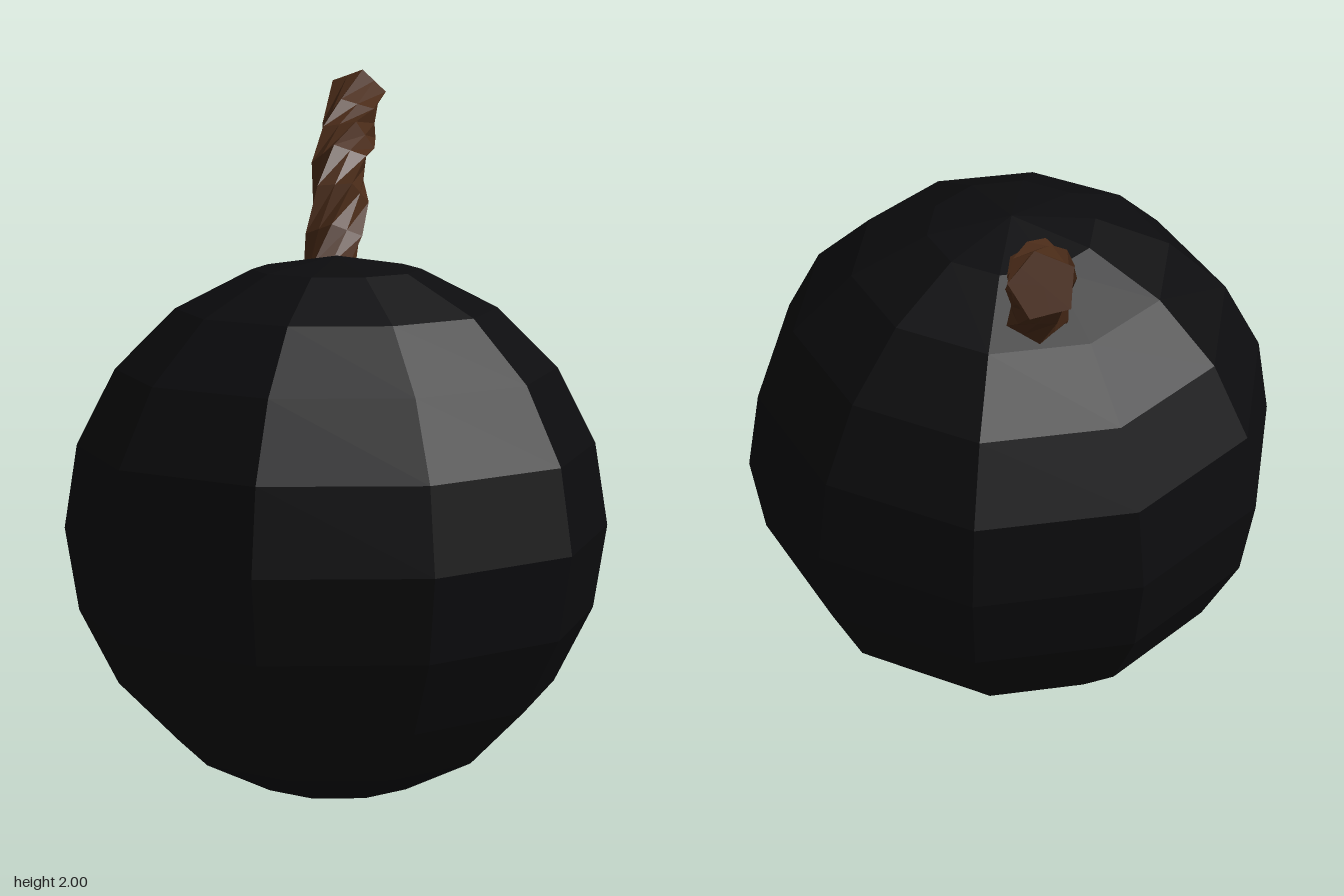
import * as THREE from 'three';

// Twisted, ridged rope swept along a curve, closed at both ends
function ropeGeometry(curve, rings, strands, outer, inner, twist) {
  const sides = strands * 2;
  const positions = [];
  const index = [];
  for (let i = 0; i <= rings; i++) {
    const f = i / rings;
    const centre = curve.getPoint(f);
    const t = curve.getTangent(f);
    const u = new THREE.Vector3(1, 0, 0).addScaledVector(t, -t.x).normalize();
    const v = new THREE.Vector3().crossVectors(t, u);
    for (let j = 0; j < sides; j++) {
      const a = (j / sides) * Math.PI * 2 + f * twist;
      const r = j % 2 ? inner : outer;
      const p = centre.clone().addScaledVector(u, r * Math.cos(a)).addScaledVector(v, r * Math.sin(a));
      positions.push(p.x, p.y, p.z);
    }
  }
  for (let i = 0; i < rings; i++) {
    for (let j = 0; j < sides; j++) {
      const k = (j + 1) % sides;
      const a = i * sides + j, b = i * sides + k;
      const c = a + sides, d = b + sides;
      index.push(a, b, d, a, d, c);
    }
  }
  // End caps
  const start = positions.length / 3;
  const p0 = curve.getPoint(0), p1 = curve.getPoint(1);
  positions.push(p0.x, p0.y, p0.z, p1.x, p1.y, p1.z);
  for (let j = 0; j < sides; j++) {
    const k = (j + 1) % sides;
    index.push(start, k, j, start + 1, rings * sides + j, rings * sides + k);
  }
  const geometry = new THREE.BufferGeometry();
  geometry.setAttribute('position', new THREE.Float32BufferAttribute(positions, 3));
  geometry.setIndex(index);
  const flat = geometry.toNonIndexed();
  flat.computeVertexNormals();
  return flat;
}

export function createModel() {
  const group = new THREE.Group();

  // Faceted ball, with a corner facing front and back
  const ballGeometry = new THREE.SphereGeometry(0.76, 10, 10);
  ballGeometry.rotateY(Math.PI / 2);
  const ball = new THREE.Mesh(
    ballGeometry,
    new THREE.MeshStandardMaterial({ color: 0x0c0c0e, flatShading: true })
  );
  ball.name = 'ball';
  ball.position.set(0, 0.76, 0.087);
  group.add(ball);

  // Rope fuse leaning backwards out of the top
  const path = new THREE.CatmullRomCurve3([
    new THREE.Vector3(-0.1, 1.36, -0.19),
    new THREE.Vector3(-0.115, 1.46, -0.255),
    new THREE.Vector3(-0.13, 1.62, -0.37),
    new THREE.Vector3(-0.155, 1.745, -0.485),
    new THREE.Vector3(-0.17, 1.815, -0.61),
    new THREE.Vector3(-0.2, 1.927, -0.808),
  ]);
  const fuse = new THREE.Mesh(
    ropeGeometry(path, 7, 5, 0.087, 0.07, Math.PI * 1.2),
    new THREE.MeshStandardMaterial({ color: 0x4a2b18, flatShading: true })
  );
  fuse.name = 'fuse';
  group.add(fuse);

  return group;
}
